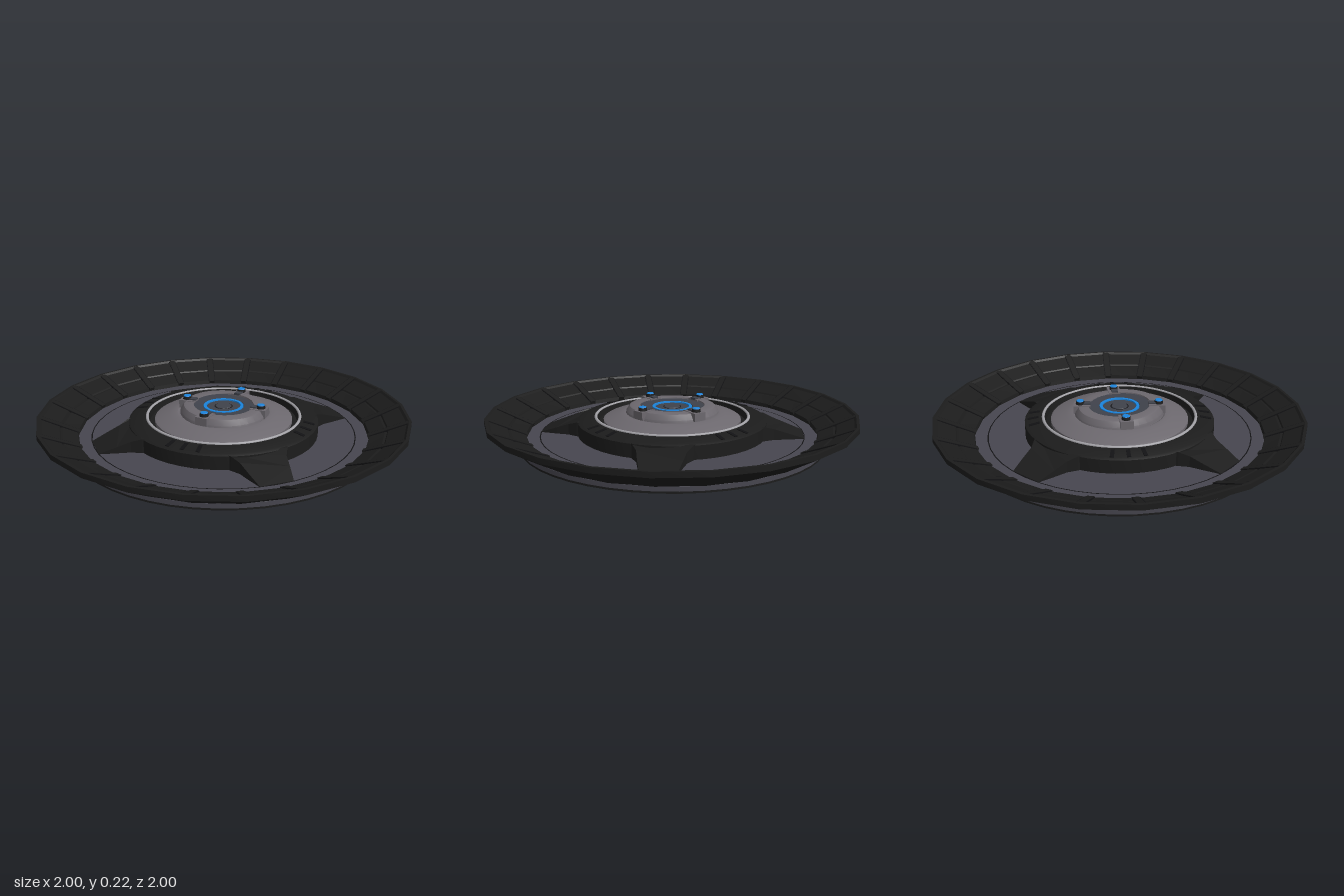
import * as THREE from 'three';
import { toCreasedNormals } from 'three/addons/utils/BufferGeometryUtils.js';

const paint = (name, color) => {
  const m = new THREE.MeshStandardMaterial({ color });
  m.name = name;
  return m;
};

export function createModel() {
  const rubber = paint('black rubber', 0x1c1c1c);
  const slate = paint('slate floor', 0x47464f);
  const hubGrey = paint('hub grey', 0x6c686e);
  const silver = paint('silver trim', 0xa2a1a6);
  const blue = paint('blue light', 0x1b84dc);
  const core = paint('core slate', 0x3f424b);
  const groove = paint('groove black', 0x121214);

  const model = new THREE.Group();
  const add = (name, geometry, material, parent = model) => {
    const mesh = new THREE.Mesh(geometry, material);
    mesh.name = name;
    parent.add(mesh);
    return mesh;
  };
  // Turned part from [radius, height] points; low crease values give facets
  const turned = (name, points, material, sides = 48, crease = 0.4) =>
    add(name, toCreasedNormals(new THREE.LatheGeometry(
      points.map(([r, y]) => new THREE.Vector2(r, y)), sides), crease), material);
  // Group turned about the vertical axis, its local +x pointing outward
  const spokeGroup = (name, angle) => {
    const g = new THREE.Group();
    g.name = name;
    g.rotation.y = angle;
    model.add(g);
    return g;
  };

  // Base plate with a recessed underside and the upper floor
  turned('basePlate', [[0, 0.03], [0.715, 0.03], [0.718, 0.004], [0.768, 0.004], [0.768, 0.01],
    [0.825, 0.01], [0.825, 0.034], [0.8, 0.05], [0, 0.05]], slate);
  turned('undersideRing', [[0.718, 0.003], [0.768, 0.003]], hubGrey);
  turned('undersideSeal', [[0.775, 0.01], [0.775, 0], [0.825, 0], [0.825, 0.01]], rubber);
  turned('floorGroove', [[0.718, 0.051], [0.712, 0.051]], groove);

  // Outer bowl: smooth shell outside, faceted panels inside
  turned('bowlShell', [[0.81, 0.03], [0.825, 0.032], [1, 0.135], [1, 0.163]], rubber, 24);
  turned('bowlPanels', [[1, 0.163], [0.985, 0.163], [0.975, 0.152], [0.885, 0.112], [0.88, 0.104],
    [0.868, 0.104], [0.79, 0.072], [0.785, 0.045]], rubber, 24, 0.1);
  const ribLength = Math.hypot(0.208, 0.09);
  for (let i = 0; i < 24; i++) {
    const g = spokeGroup('bowlRib' + i, i * Math.PI / 12);
    const rib = add('rib', new THREE.BoxGeometry(ribLength, 0.02, 0.034), rubber, g);
    rib.position.set(0.884, 0.108, 0);
    rib.rotation.z = Math.atan2(0.09, 0.208);
    for (const s of [-1, 1]) {
      const seam = add('ribSeam', new THREE.BoxGeometry(ribLength - 0.02, 0.016, 0.005), groove, g);
      seam.position.set(0.884, 0.109, s * 0.019);
      seam.rotation.z = rib.rotation.z;
    }
  }

  // Raised dark ring with a gap around the hub
  turned('darkRing', [[0.515, 0.045], [0.515, 0.122], [0.5, 0.13], [0.43, 0.143], [0.405, 0.143],
    [0.4, 0.11], [0.36, 0.11]], rubber);
  const trim = add('silverTrim', new THREE.TorusGeometry(0.415, 0.008, 8, 64), silver);
  trim.rotation.x = Math.PI / 2;
  trim.position.y = 0.143;

  // Four tapered arms, sloping down to the floor at their tips
  const plan = new THREE.Shape([[0.45, -0.17], [0.5, -0.15], [0.55, -0.122], [0.62, -0.108], [0.71, -0.087],
    [0.71, 0.087], [0.62, 0.108], [0.55, 0.122], [0.5, 0.15], [0.45, 0.17]]
    .map(([x, y]) => new THREE.Vector2(x, y)));
  const armGeometry = new THREE.ExtrudeGeometry(plan, { depth: 1, bevelEnabled: false });
  armGeometry.rotateX(-Math.PI / 2);
  const p = armGeometry.attributes.position;
  for (let i = 0; i < p.count; i++) {
    const slope = 0.126 - 0.073 * Math.max(0, (p.getX(i) - 0.5) / 0.21);
    p.setY(i, p.getY(i) > 0.5 ? slope : 0.045);
  }
  armGeometry.computeVertexNormals();
  for (let i = 0; i < 4; i++) {
    const mount = spokeGroup('armMount' + i, i * Math.PI / 2);
    add('arm', armGeometry, rubber, mount);
    // Dark clip on the underside ring below each arm
    add('undersideClip', new THREE.BoxGeometry(0.014, 0.006, 0.12), groove, mount).position.set(0.735, 0.004, 0);
    // Small ridges on the ring between the arms
    for (const d of [-0.17, 0, 0.17]) {
      const g = spokeGroup('ringRidge', Math.PI / 4 + i * Math.PI / 2 + d);
      const ridge = add('ridge', new THREE.BoxGeometry(0.06, 0.01, 0.02), groove, g);
      ridge.position.set(0.468, 0.134, 0);
      ridge.rotation.z = -0.18;
    }
  }

  // Hub cone and collar
  turned('hubCone', [[0.374, 0.105], [0.374, 0.128], [0.362, 0.135], [0.29, 0.153], [0.265, 0.161],
    [0.25, 0.161], [0.24, 0.155], [0.1, 0.155]], hubGrey);
  const collar = turned('hubCollar', [[0.255, 0.152], [0.251, 0.17], [0.232, 0.198], [0.222, 0.202], [0.176, 0.202],
    [0.17, 0.18]], hubGrey, 32);
  collar.scale.x = 0.92;

  // Central core with the blue light ring
  turned('coreDisc', [[0.178, 0.178], [0.174, 0.196], [0.112, 0.192], [0.11, 0.187], [0.088, 0.187],
    [0.086, 0.188], [0, 0.188]], core);
  turned('blueRing', [[0.109, 0.185], [0.108, 0.194], [0.092, 0.194], [0.091, 0.185]], blue);
  turned('knobSeam', [[0.049, 0.1888], [0.044, 0.1888]], groove);
  turned('knob', [[0.044, 0.188], [0.042, 0.192], [0, 0.192]], core, 32);

  // Four bolts with blue caps on diagonal pads
  for (const sx of [-1, 1]) for (const sz of [-1, 1]) {
    const g = spokeGroup('boltMount', Math.atan2(-sz * 0.14, sx * 0.16));
    add('pad', new THREE.BoxGeometry(0.09, 0.045, 0.07), hubGrey, g).position.set(0.203, 0.182, 0);
    add('boltArm', new THREE.BoxGeometry(0.04, 0.012, 0.034), core, g).position.set(0.178, 0.206, 0);
    add('bolt', new THREE.CylinderGeometry(0.022, 0.025, 0.022, 12), rubber, g).position.set(0.213, 0.21, 0);
    add('boltCap', new THREE.CylinderGeometry(0.019, 0.022, 0.006, 12), blue, g).position.set(0.213, 0.222, 0);
  }
  return model;
}
